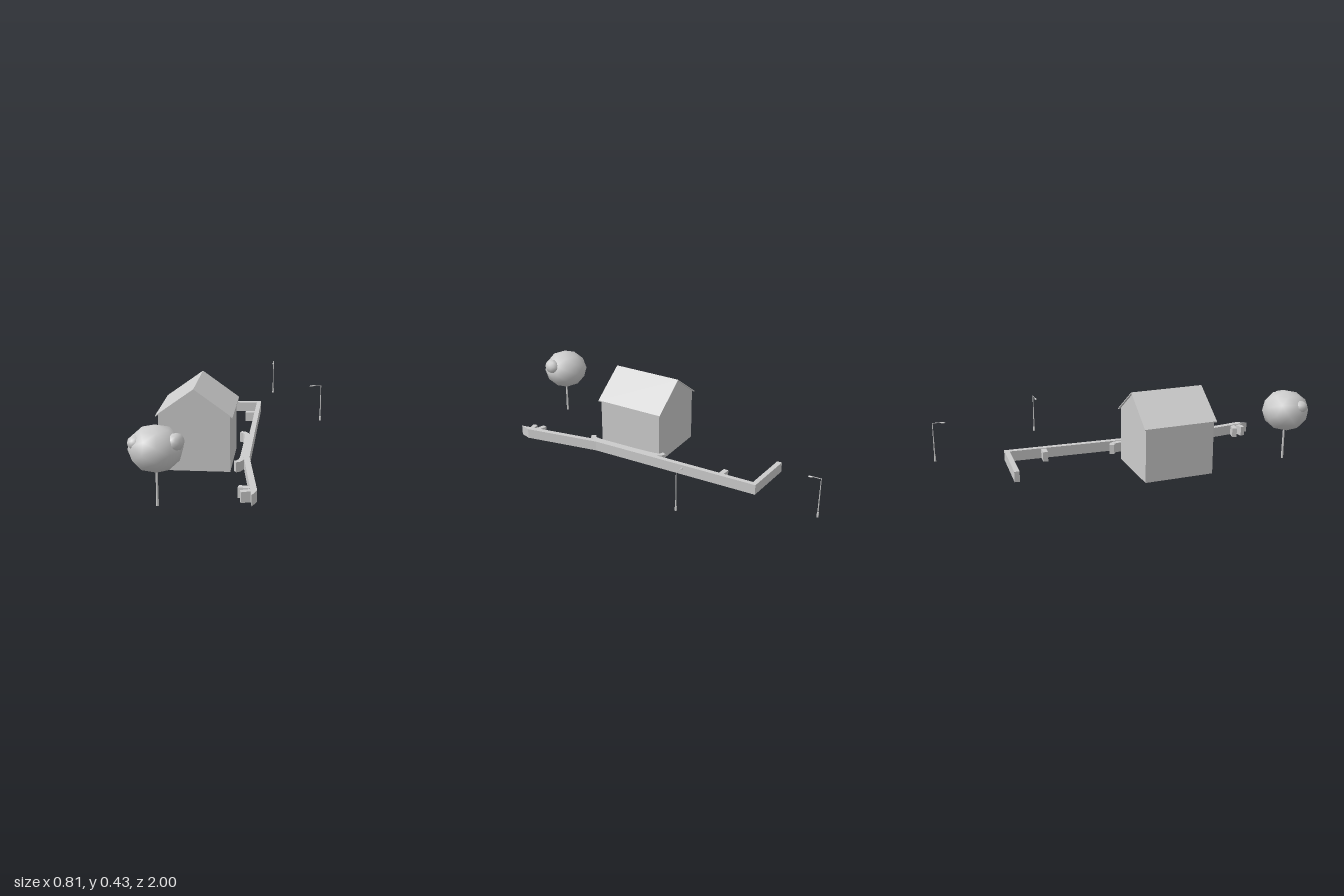
import * as THREE from 'three';

const grey = new THREE.MeshStandardMaterial({ color: 0xcccccc, side: THREE.DoubleSide });

function add(parent, name, geometry, x = 0, y = 0, z = 0) {
  const mesh = new THREE.Mesh(geometry, grey);
  mesh.name = name;
  mesh.position.set(x, y, z);
  parent.add(mesh);
  return mesh;
}

function group(parent, name, x = 0, y = 0, z = 0) {
  const g = new THREE.Group();
  g.name = name;
  g.position.set(x, y, z);
  parent.add(g);
  return g;
}

const shapeOf = (points) => new THREE.Shape(points.map(([x, y]) => new THREE.Vector2(x, y)));

// Low wall: a plan outline in [x, z], raised and laid on gently sloping ground
function lowWall(outline, height = 0.056) {
  const geo = new THREE.ExtrudeGeometry(shapeOf(outline.map(([x, z]) => [x, -z])), { depth: height, bevelEnabled: false });
  geo.rotateX(-Math.PI / 2);
  const p = geo.attributes.position;
  for (let i = 0; i < p.count; i++) {
    p.setY(i, p.getY(i) + 0.025 + 0.02 * p.getX(i) - 0.028 * p.getZ(i));
  }
  geo.computeVertexNormals();
  return geo;
}

// Outline of constant width around a path of [x, z] points
function ribbon(path, width) {
  const left = [], right = [];
  path.forEach(([x, z], i) => {
    const a = path[Math.max(i - 1, 0)], b = path[Math.min(i + 1, path.length - 1)];
    const dx = b[0] - a[0], dz = b[1] - a[1], k = width / 2 / Math.hypot(dx, dz);
    left.push([x - dz * k, z + dx * k]);
    right.unshift([x + dz * k, z - dx * k]);
  });
  return [...left, ...right];
}

function addHouse(parent) {
  const house = group(parent, 'house', -0.118, 0, 0.22);
  house.rotation.y = 0.34;
  const w = 0.182, l = 0.188, eave = 0.294, ridge = 0.428;

  // Walls, open underneath
  const gable = shapeOf([[-w, 0], [w, 0], [w, eave], [0, ridge], [-w, eave]]);
  for (const s of [-1, 1]) {
    const end = add(house, s > 0 ? 'frontGableWall' : 'backGableWall', new THREE.ShapeGeometry(gable), 0, 0, s * l);
    if (s < 0) end.rotation.y = Math.PI;
    const side = add(house, s > 0 ? 'leftWall' : 'rightWall', new THREE.PlaneGeometry(2 * l, eave), s * w, eave / 2, 0);
    side.rotation.y = s * Math.PI / 2;
  }

  // Thin pitched roof with a small overhang
  const roof = shapeOf([[-0.195, 0.285], [0, 0.426], [0.195, 0.285], [0.195, 0.291], [0, 0.432], [-0.195, 0.291]]);
  const roofGeo = new THREE.ExtrudeGeometry(roof, { depth: 0.397, bevelEnabled: false });
  add(house, 'roof', roofGeo, 0, 0, -0.1985);
}

function addTree(parent) {
  const tree = group(parent, 'tree', 0, 0, 0.87);
  add(tree, 'trunk', new THREE.CylinderGeometry(0.005, 0.0065, 0.18, 8), -0.003, 0.09, 0);
  const clumps = [
    ['crown', -0.005, 0.276, 0, 0.125, 0.11, 0.125],
    ['leftLeafClump', 0.095, 0.317, -0.005, 0.037, 0.042, 0.05],
    ['rightLeafClump', -0.068, 0.313, 0.06, 0.04, 0.034, 0.045],
  ];
  for (const [name, x, y, z, rx, ry, rz] of clumps) {
    add(tree, name, new THREE.IcosahedronGeometry(1, 1).scale(rx, ry, rz), x, y, z);
  }
}

// Street lamp whose arm points along local +x
function addLamp(parent, name, x, z, turn) {
  const lamp = group(parent, name, x, 0.06, z);
  lamp.rotation.y = turn;
  add(lamp, 'base', new THREE.CylinderGeometry(0.005, 0.006, 0.025, 8), 0, 0.0125, 0);
  add(lamp, 'pole', new THREE.CylinderGeometry(0.002, 0.0035, 0.21, 8), 0, 0.106, 0);
  const arm = add(lamp, 'arm', new THREE.CylinderGeometry(0.0018, 0.0018, 0.05, 6), 0.024, 0.21, 0);
  arm.rotation.z = Math.PI / 2;
  const head = add(lamp, 'lampHead', new THREE.SphereGeometry(1, 10, 6).scale(0.013, 0.0035, 0.006), 0.054, 0.207, 0);
  head.rotation.z = -0.08;
}

export function createModel() {
  const model = new THREE.Group();
  model.name = 'houseWithGardenWall';

  addHouse(model);
  addTree(model);
  addLamp(model, 'sideLamp', 0.302, -0.519, Math.PI + 0.36);
  addLamp(model, 'backLamp', -0.185, -0.995, -1.22);

  // Long boundary wall with a mitred end
  add(model, 'boundaryWall', lowWall([
    [-0.41, -0.555], [-0.122, -0.64], [0.2, 0.285], [0.405, 0.67],
    [0.405, 0.735], [0.172, 0.295], [-0.138, -0.608], [-0.402, -0.529],
  ]));

  // Inner wall with hooked ends
  add(model, 'innerWall', lowWall(ribbon([
    [-0.004, -0.068], [0.018, -0.066], [0.036, -0.052], [0.05, -0.026],
    [0.085, 0.06], [0.166, 0.295], [0.172, 0.33], [0.168, 0.352], [0.156, 0.365],
  ], 0.027), 0.053));

  // Short stubs branching off the boundary wall
  const stubs = [
    [[-0.13, -0.42], [-0.065, -0.438]],
    [[0.302, 0.65], [0.36, 0.644]],
    [[0.335, 0.702], [0.385, 0.668]],
  ];
  for (const path of stubs) add(model, 'wallStub', lowWall(ribbon(path, 0.027), 0.053));

  return model;
}
